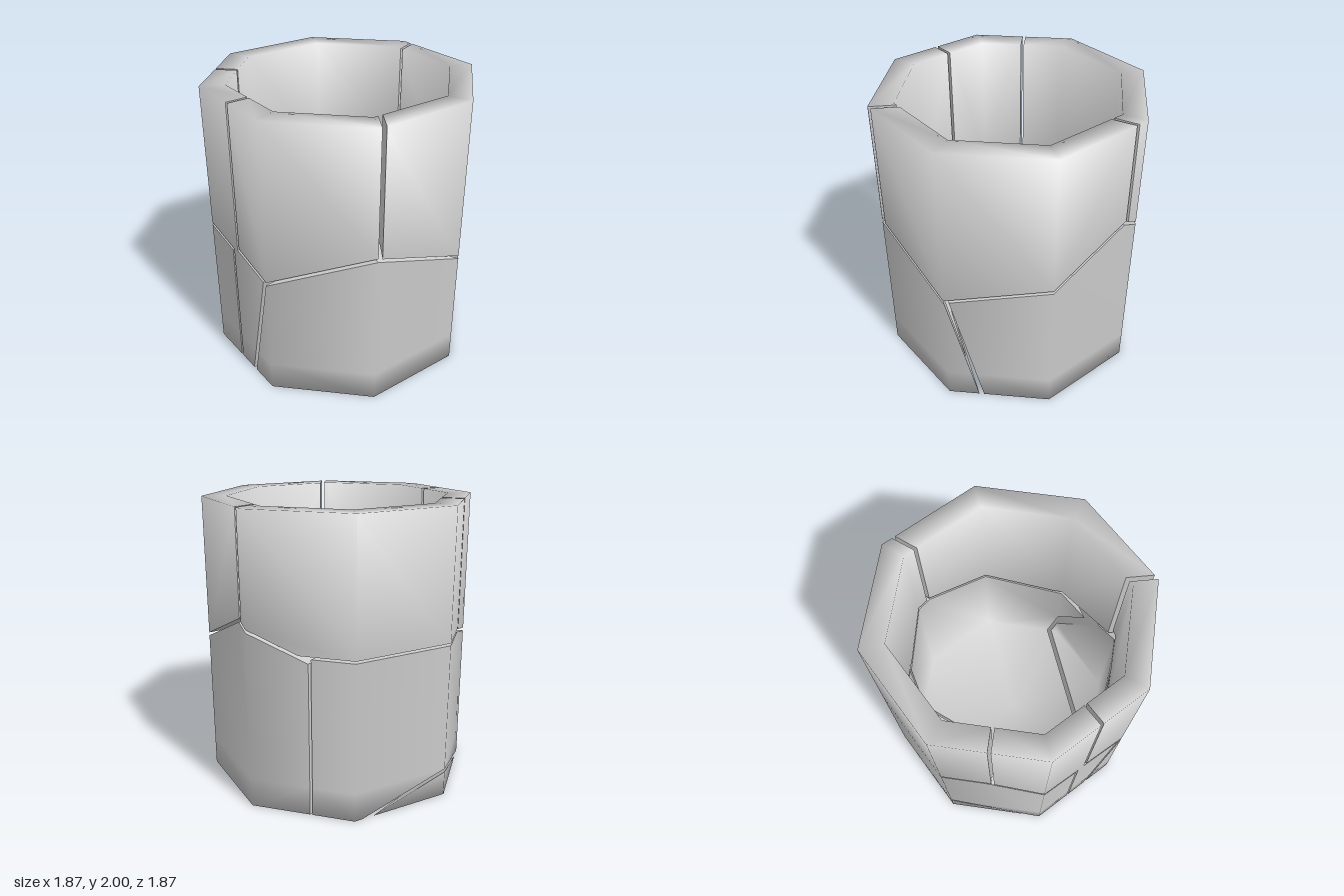
import * as THREE from 'three';

const R = 0.935, RI = 0.77, H = 2, FLOOR = 0.2, GAP = 0.01;
const APO = Math.cos(Math.PI / 8);

// A half-space keeps the points where n.p <= d. kind: skin, cut or hidden (seam inside a shard)
const half = (x, y, z, d, kind) => {
  const n = new THREE.Vector3(x, y, z), l = n.length();
  return { n: n.divideScalar(l), d: d / l, kind };
};
// The two sides of a crack, each set back by half the gap
const crack = (x, y, z, d, gap = GAP) => {
  const low = half(x, y, z, d, 'cut'), high = half(-x, -y, -z, -d, 'cut');
  low.d -= gap; high.d -= gap;
  return { low, high };
};
// A sloping crack y = a + b x + c z
const slope = (a, b, c, gap) => crack(-b, 1, -c, a, gap);

// Convex blocks that together make the eight-sided cup
function cupBlocks() {
  const blocks = [];
  for (let k = 0; k < 8; k++) {
    const a = k * Math.PI / 4, m = a + Math.PI / 8;
    const ring = (r, sign, kind) => half(sign * Math.sin(m), 0, sign * Math.cos(m), sign * r * APO, kind);
    const level = (y, sign, kind) => half(0, sign, 0, sign * y, kind);
    const sides = [a - Math.PI / 2, a + Math.PI * 0.75].map(t => half(Math.sin(t), 0, Math.cos(t), 0, 'hidden'));
    blocks.push(
      // wall, foot of the wall, floor
      [...sides, ring(R, 1, 'skin'), ring(RI, -1, 'skin'), level(H, 1, 'skin'), level(FLOOR, -1, 'hidden')],
      [...sides, ring(R, 1, 'skin'), ring(RI, -1, 'hidden'), level(FLOOR, 1, 'hidden'), level(0, -1, 'skin')],
      [...sides, ring(RI, 1, 'hidden'), level(FLOOR, 1, 'skin'), level(0, -1, 'skin')]
    );
  }
  return blocks;
}

// Cut a polygon back to one half-space
function clip(poly, { n, d }) {
  const out = [];
  poly.forEach((p, i) => {
    const q = poly[(i + 1) % poly.length], dp = n.dot(p) - d, dq = n.dot(q) - d;
    if (dp <= 1e-7) out.push(p);
    if ((dp < -1e-7 && dq > 1e-7) || (dp > 1e-7 && dq < -1e-7)) out.push(p.clone().lerp(q, dp / (dp - dq)));
  });
  return out;
}

function facePolygon(plane, all) {
  const { n, d } = plane;
  const u = new THREE.Vector3(Math.abs(n.y) > 0.9 ? 1 : 0, Math.abs(n.y) > 0.9 ? 0 : 1, 0).cross(n).normalize();
  const v = n.clone().cross(u);
  let poly = [[-4, -4], [4, -4], [4, 4], [-4, 4]].map(([s, t]) =>
    n.clone().multiplyScalar(d).addScaledVector(u, s).addScaledVector(v, t));
  for (const other of all) {
    if (other !== plane) poly = clip(poly, other);
    if (poly.length < 3) return [];
  }
  return poly;
}

// Rounded shading: normals follow the radius and tip over at the rim and base
function skinNormal(p) {
  let s = 0;
  for (let k = 0; k < 8; k++) {
    const m = (k + 0.5) * Math.PI / 4;
    s = Math.max(s, (Math.sin(m) * p.x + Math.cos(m) * p.z) / APO);
  }
  const outer = s > (R + RI) / 2;
  const radial = new THREE.Vector3(p.x, 0, p.z);
  if (radial.length() > 1e-5) radial.normalize();
  if (p.y < 0.001) return radial.multiplyScalar(s / R).setY(-1).normalize();
  if (!outer) radial.multiplyScalar(-s / RI);
  if (p.y > H - 0.001 || (!outer && p.y < FLOOR + 0.001)) radial.y = 1;
  return radial.normalize();
}

function shardGeometry(cuts, blocks) {
  const pos = [], nor = [];
  for (const block of blocks) {
    const all = [...block, ...cuts];
    for (const plane of all) {
      if (plane.kind === 'hidden') continue;
      const poly = facePolygon(plane, all);
      for (let i = 1; i + 1 < poly.length; i++) {
        for (const p of [poly[0], poly[i], poly[i + 1]]) {
          pos.push(p.x, p.y, p.z);
          const n = plane.kind === 'skin' ? skinNormal(p) : plane.n;
          nor.push(n.x, n.y, n.z);
        }
      }
    }
  }
  const g = new THREE.BufferGeometry();
  g.setAttribute('position', new THREE.Float32BufferAttribute(pos, 3));
  g.setAttribute('normal', new THREE.Float32BufferAttribute(nor, 3));
  return g;
}

export function createModel() {
  const group = new THREE.Group();
  group.name = 'brokenCup';
  const material = new THREE.MeshStandardMaterial({ color: 0xcccccc });

  // Upright cracks in the upper wall
  const frontLeft = crack(-0.81, 0, 0.59, -0.163, 0.014);
  const frontRight = crack(0.93, 0, 0.37, -0.007);
  const sideRight = crack(0.39, 0, 0.92, -0.008);
  const back = crack(1, 0, 0, 0.08);
  // Sloping cracks between upper and lower shards
  const underFront = slope(1.59, 0.06, -0.77);
  const underRight = slope(1.056, -0.14, -0.24);
  const underBack = slope(1.1, 0, 0, 0.008);
  const underBackMiddle = slope(1.235, 0.43, 0);
  const underLeft = slope(1.338, -0.5, 0.17);
  const underLeftBack = slope(1.286, -0.447, -0.044);
  // Cracks through the lower wall and floor
  const lowerRight = crack(1, 0, 0, -0.387, 0.008);
  const lowerFront = crack(1, -0.322, 1, 0.63, 0.015);
  const chip = slope(-0.545, -0.78, 0);

  const shards = {
    upperFrontShard: [frontLeft.high, frontRight.high, underFront.high],
    upperRightShard: [frontRight.low, sideRight.high, underRight.high],
    upperBackShard: [sideRight.low, back.low, underBack.high, underBackMiddle.high],
    upperLeftShard: [back.high, frontLeft.low, underLeft.high, underLeftBack.high],
    lowerRightShard: [lowerRight.low, underRight.low, underBack.low, chip.high],
    lowerMiddleShard: [lowerRight.high, lowerFront.low, underFront.low, underBackMiddle.low, underLeftBack.low],
    lowerFrontShard: [lowerFront.high, underFront.low, underLeft.low],
    baseChip: [chip.low],
  };

  const blocks = cupBlocks();
  for (const [name, cuts] of Object.entries(shards)) {
    const mesh = new THREE.Mesh(shardGeometry(cuts, blocks), material);
    mesh.name = name;
    group.add(mesh);
  }
  return group;
}
